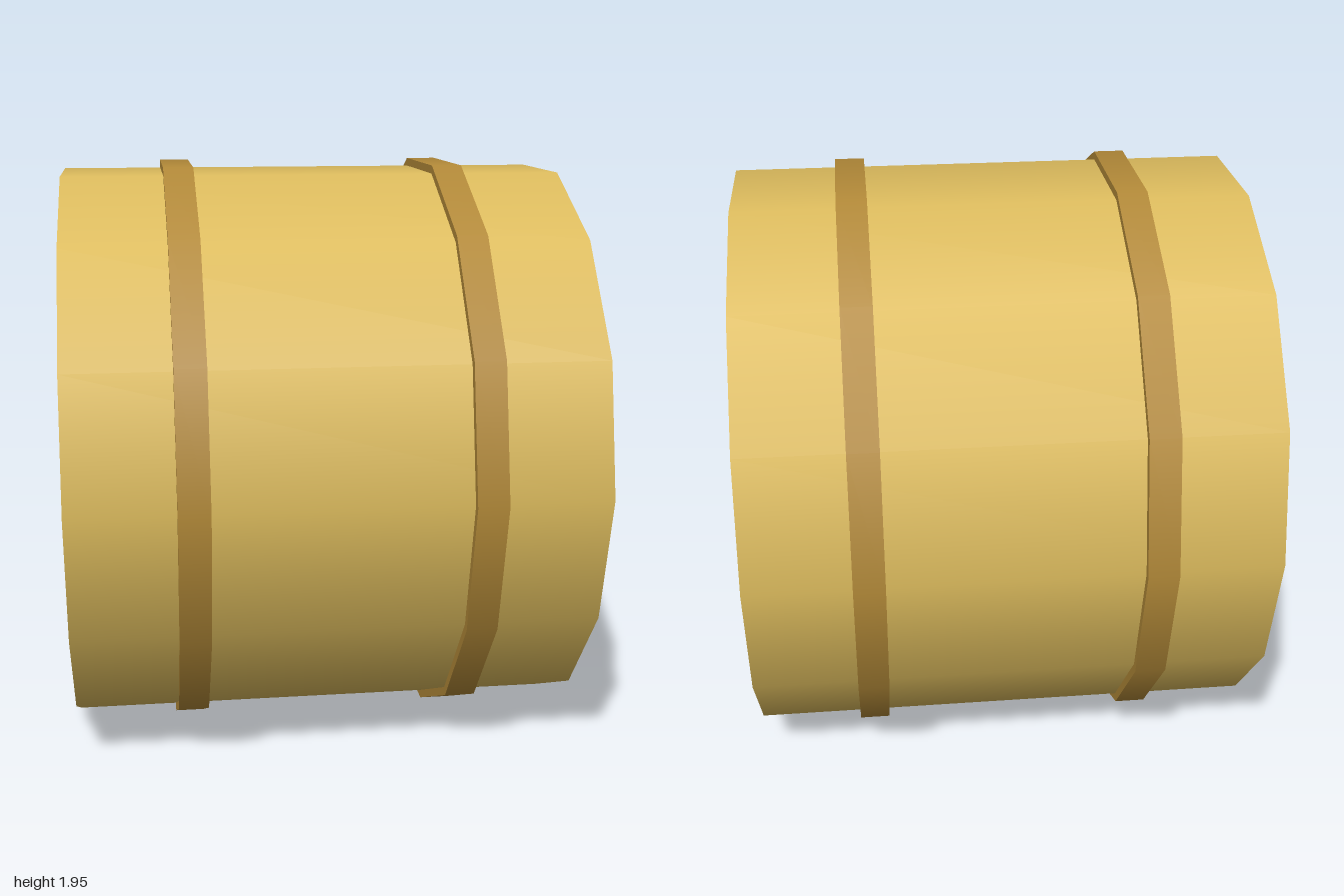
import * as THREE from 'three';

const SIDES = 14;
const BAND_RADIUS = 1;
const AXIS_Y = BAND_RADIUS * Math.cos(Math.PI / SIDES); // bands rest on a flat side

// Drum lying along x, smooth around its side with flat ends
function drum(name, radius, length, x, material) {
  const geometry = new THREE.CylinderGeometry(radius, radius, length, SIDES);
  geometry.rotateZ(Math.PI / 2);
  const mesh = new THREE.Mesh(geometry, material);
  mesh.name = name;
  mesh.position.set(x, AXIS_Y, 0);
  return mesh;
}

export function createModel() {
  const straw = new THREE.MeshStandardMaterial({ color: 0xdcbb5d });
  straw.name = 'straw';
  const twine = new THREE.MeshStandardMaterial({ color: 0xb28938 });
  twine.name = 'twine';

  const model = new THREE.Group();
  model.name = 'roundBale';

  // Main roll
  model.add(drum('bale', 0.972, 1.684, 0, straw));

  // Two raised binding bands
  for (const [name, x] of [['leftBand', 0.453], ['rightBand', -0.453]]) {
    model.add(drum(name, BAND_RADIUS, 0.1, x, twine));
  }
  return model;
}
